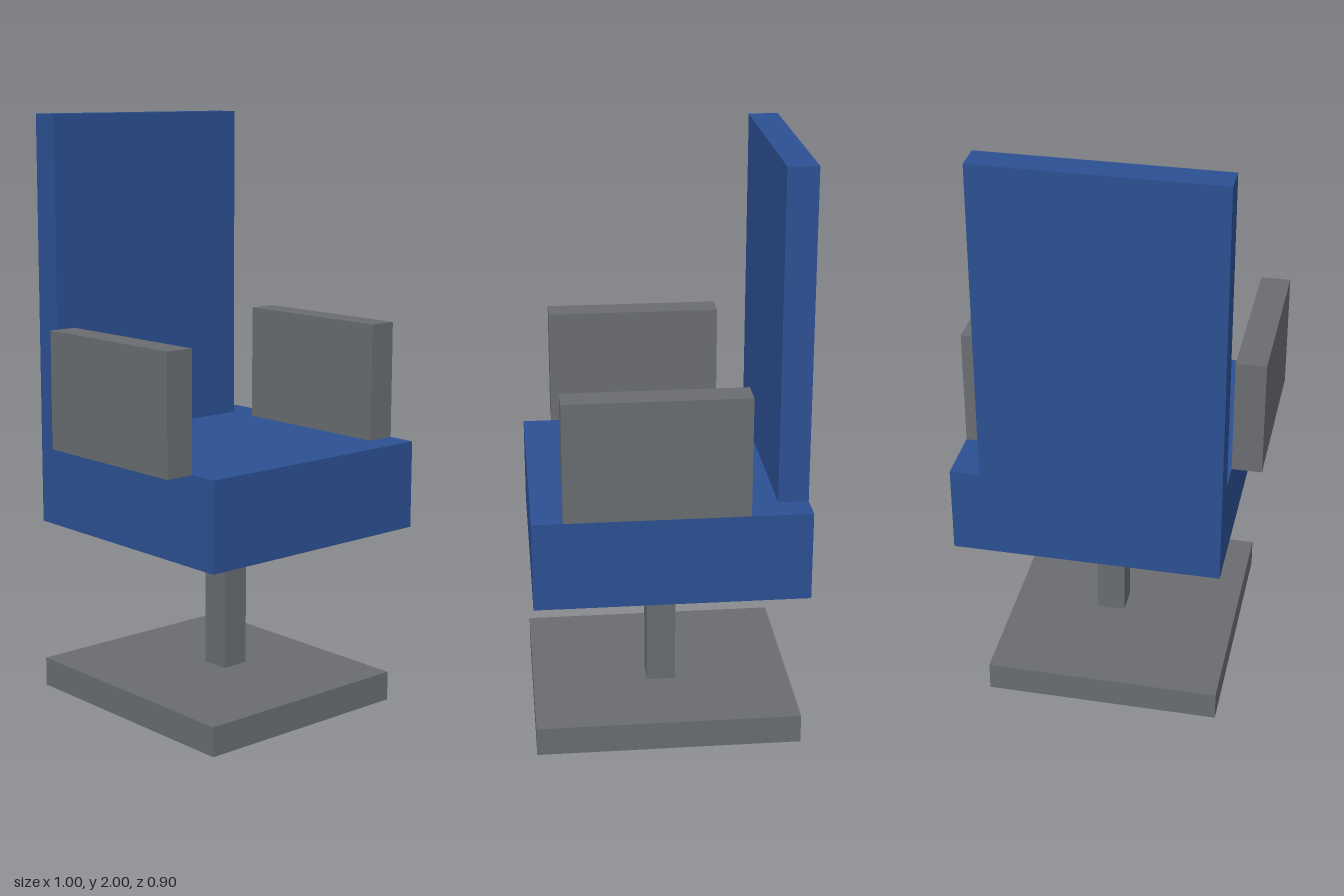
import * as THREE from 'three';

export function createModel() {
  const model = new THREE.Group();
  model.name = 'swivelChair';

  const blue = new THREE.MeshStandardMaterial({ color: 0x2c5092 });
  blue.name = 'blue upholstery';
  const grey = new THREE.MeshStandardMaterial({ color: 0x696c70 });
  grey.name = 'grey frame';

  // Box given by its minimum and maximum corners
  function addBox(name, material, [x0, y0, z0], [x1, y1, z1]) {
    const mesh = new THREE.Mesh(new THREE.BoxGeometry(x1 - x0, y1 - y0, z1 - z0), material);
    mesh.name = name;
    mesh.position.set((x0 + x1) / 2, (y0 + y1) / 2, (z0 + z1) / 2);
    model.add(mesh);
  }

  // Foot plate and off-centre post
  addBox('base', grey, [-0.4, 0, -0.45], [0.4, 0.1, 0.45]);
  addBox('post', grey, [0, 0.1, -0.05], [0.1, 0.6, 0.05]);

  // Seat reaches further out on the left side than the backrest
  addBox('seat', blue, [-0.4, 0.6, -0.45], [0.5, 0.9, 0.45]);
  addBox('backrest', blue, [-0.4, 0.9, -0.45], [0.4, 2, -0.35]);

  // Armrests: the left stands on the seat, the right hangs beside it
  for (const [name, x] of [['leftArmrest', 0.4], ['rightArmrest', -0.5]]) {
    addBox(name, grey, [x, 0.9, -0.25], [x + 0.1, 1.3, 0.35]);
  }

  return model;
}
